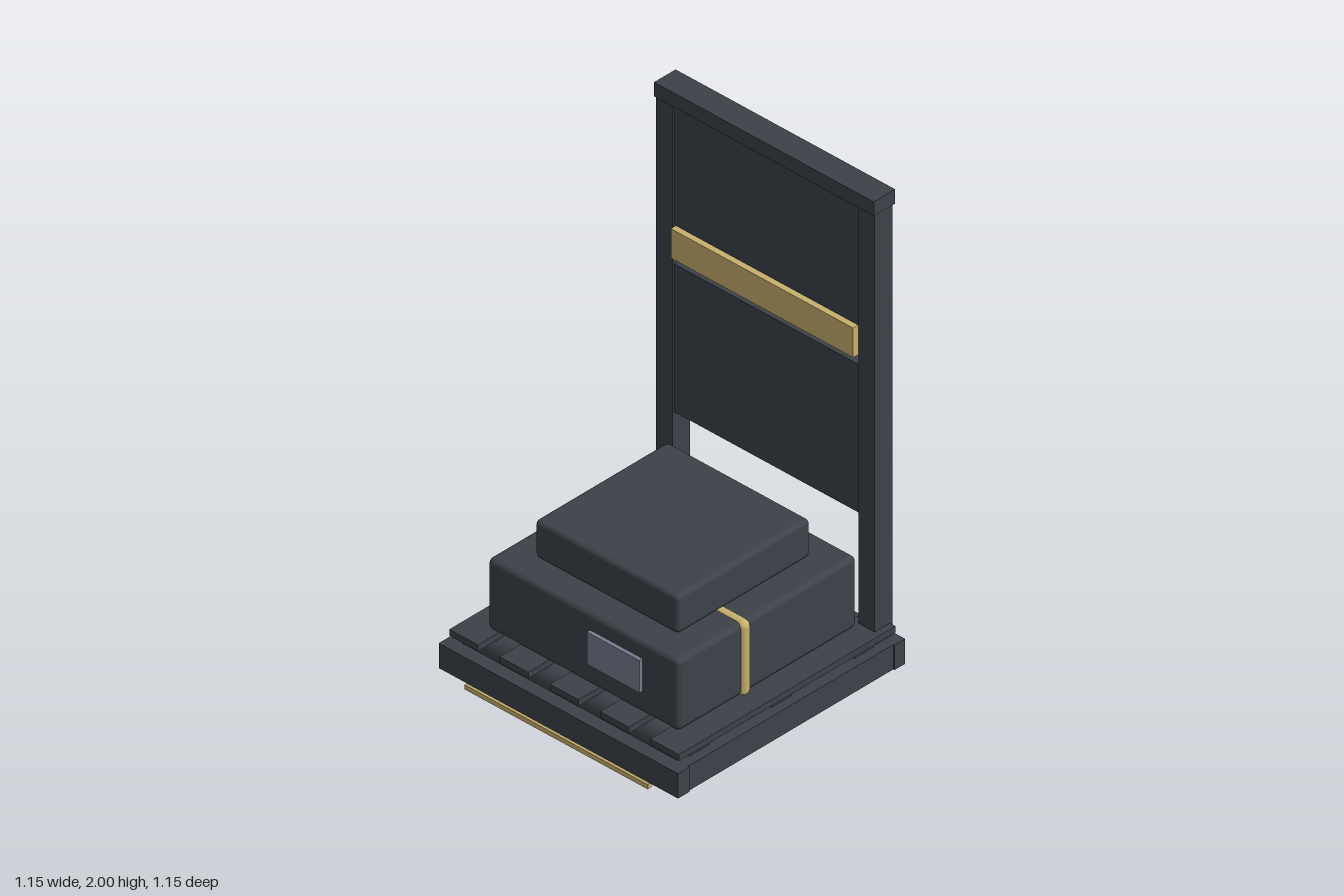
import * as THREE from 'three';
import { RoundedBoxGeometry } from 'three/addons/geometries/RoundedBoxGeometry.js';

const mat = (name, color) => {
  const m = new THREE.MeshStandardMaterial({ color });
  m.name = name;
  return m;
};

export function createModel() {
  const model = new THREE.Group();
  model.name = 'loadedPlatformCart';
  const dark = mat('charcoal', 0x3c4249);
  const gold = mat('brass', 0xc9b26e);
  const blue = mat('slateBlue', 0x7a7d91);

  const add = (name, geometry, material, x = 0, y = 0, z = 0) => {
    const mesh = new THREE.Mesh(geometry, material);
    mesh.name = name;
    mesh.position.set(x, y, z);
    model.add(mesh);
    return mesh;
  };
  // box from its limits; a radius rounds the edges
  const box = (name, material, x0, x1, y0, y1, z0, z1, radius = 0) => {
    const size = [x1 - x0, y1 - y0, z1 - z0];
    const geometry = radius
      ? new RoundedBoxGeometry(...size, 4, radius)
      : new THREE.BoxGeometry(...size);
    return add(name, geometry, material, (x0 + x1) / 2, (y0 + y1) / 2, (z0 + z1) / 2);
  };

  // base frame with floor panel
  box('frontRail', dark, -0.575, 0.575, 0.02, 0.125, 0.507, 0.564);
  box('backRail', dark, -0.575, 0.575, 0.02, 0.125, -0.575, -0.522);
  for (const s of [-1, 1]) {
    const a = s * 0.515, b = s * 0.569;
    box('sideRail', dark, Math.min(a, b), Math.max(a, b), 0.02, 0.125, -0.522, 0.507);
  }
  box('floorPanel', blue, -0.515, 0.515, 0.03, 0.05, -0.522, 0.507);
  box('frontTrim', gold, -0.44, 0.44, 0, 0.02, 0.555, 0.575);

  // rollers carrying the deck
  for (const z of [-0.415, -0.003, 0.41]) {
    const roller = add('roller', new THREE.CylinderGeometry(0.057, 0.057, 1.06, 24), dark, 0, 0.098, z);
    roller.rotation.z = Math.PI / 2;
  }

  // five deck slats
  for (let i = -2; i <= 2; i++) {
    const x = i * 0.2415;
    box('deckSlat', dark, x - 0.069, x + 0.069, 0.153, 0.18, -0.55, 0.535);
  }

  // back frame
  for (const s of [-1, 1]) {
    box('post', dark, s * 0.486 - 0.039, s * 0.486 + 0.039, 0.12, 1.945, -0.563, -0.474);
  }
  box('topCap', dark, -0.528, 0.528, 1.94, 2, -0.574, -0.467);
  box('lowerBackPanel', dark, -0.45, 0.45, 0.64, 1.265, -0.555, -0.482);
  box('upperBackPanel', dark, -0.45, 0.45, 1.43, 1.945, -0.555, -0.482);
  box('backPlate', gold, -0.438, 0.438, 1.305, 1.43, -0.483, -0.457);

  // stacked cargo
  box('lowerCase', dark, -0.46, 0.46, 0.18, 0.48, -0.455, 0.442, 0.022);
  box('upperCase', dark, -0.345, 0.345, 0.478, 0.638, -0.342, 0.325, 0.02);
  box('caseLabel', blue, 0.035, 0.288, 0.275, 0.412, 0.44, 0.458);

  // round strap looped around the lower case
  const r = 0.024, sx = 0.449, top = 0.462, bottom = 0.196, sz = 0.107;
  for (const y of [bottom, top]) {
    const bar = add('strapBar', new THREE.CylinderGeometry(r, r, sx * 2, 20), gold, 0, y, sz);
    bar.rotation.z = Math.PI / 2;
  }
  for (const x of [-sx, sx]) {
    add('strapSide', new THREE.CylinderGeometry(r, r, top - bottom, 20), gold, x, (top + bottom) / 2, sz);
    for (const y of [bottom, top]) {
      add('strapCorner', new THREE.SphereGeometry(r, 20, 12), gold, x, y, sz);
    }
  }
  return model;
}
